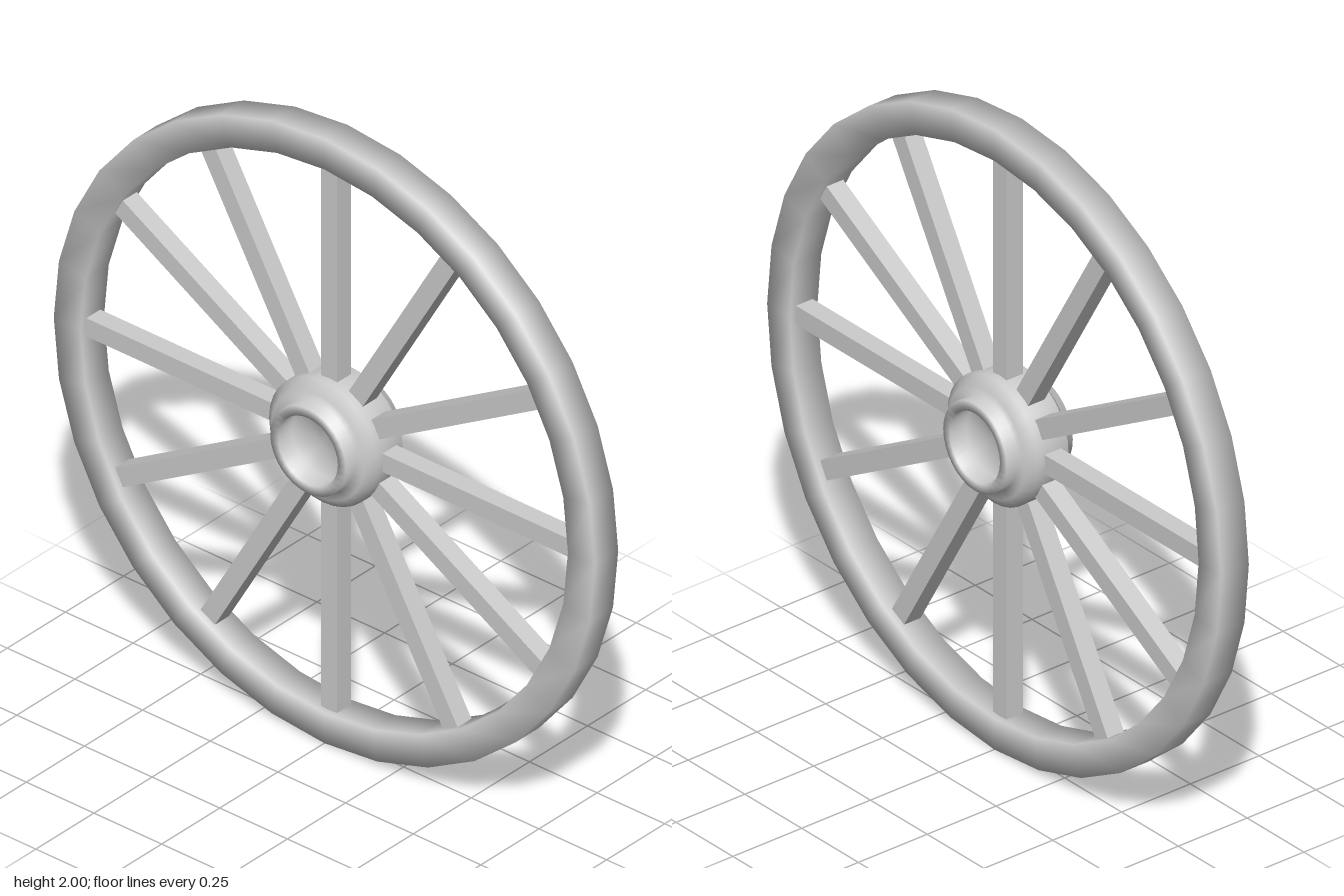
import * as THREE from 'three';
import { mergeVertices } from 'three/addons/utils/BufferGeometryUtils.js';

const SEGMENTS = 32;
const SPOKES = 12;

// Revolve a [radius, z] profile about the axle (z), with normals smoothed over the corners
function revolve(profile) {
  const lathe = new THREE.LatheGeometry(profile.map(([r, z]) => new THREE.Vector2(r, z)), SEGMENTS);
  lathe.deleteAttribute('uv');
  lathe.deleteAttribute('normal');
  const geometry = mergeVertices(lathe, 1e-4);
  geometry.rotateX(Math.PI / 2);
  geometry.computeVertexNormals();
  return geometry;
}

export function createModel() {
  const model = new THREE.Group();
  model.name = 'spokedWheel';
  const material = new THREE.MeshStandardMaterial({ color: 0xcccccc });

  const wheel = new THREE.Group();
  wheel.name = 'wheel';
  wheel.position.y = 1;
  model.add(wheel);

  const add = (name, geometry, parent = wheel) => {
    const mesh = new THREE.Mesh(geometry, material);
    mesh.name = name;
    parent.add(mesh);
    return mesh;
  };

  // Rim: square section swept round the axle
  add('rim', revolve([[1, -0.05], [1, 0.05], [0.9, 0.05], [0.9, -0.05], [1, -0.05]]));

  // Hub: bevelled flange, stepped collars and a recess at each end
  const half = [[0.2, 0.055], [0.17, 0.08], [0.14, 0.08], [0.14, 0.12], [0.11, 0.12], [0.11, 0.06], [0, 0.06]];
  const mirrored = half.map(([r, z]) => [r, -z]).reverse();
  add('hub', revolve([...mirrored, ...half]));

  // Spokes: square bars from inside the hub to the rim
  const spokes = new THREE.Group();
  spokes.name = 'spokes';
  wheel.add(spokes);
  const bar = new THREE.BoxGeometry(0.06, 0.75, 0.06).translate(0, 0.525, 0);
  for (let i = 0; i < SPOKES; i++) {
    add('spoke', bar, spokes).rotation.z = (i / SPOKES) * Math.PI * 2;
  }

  return model;
}
